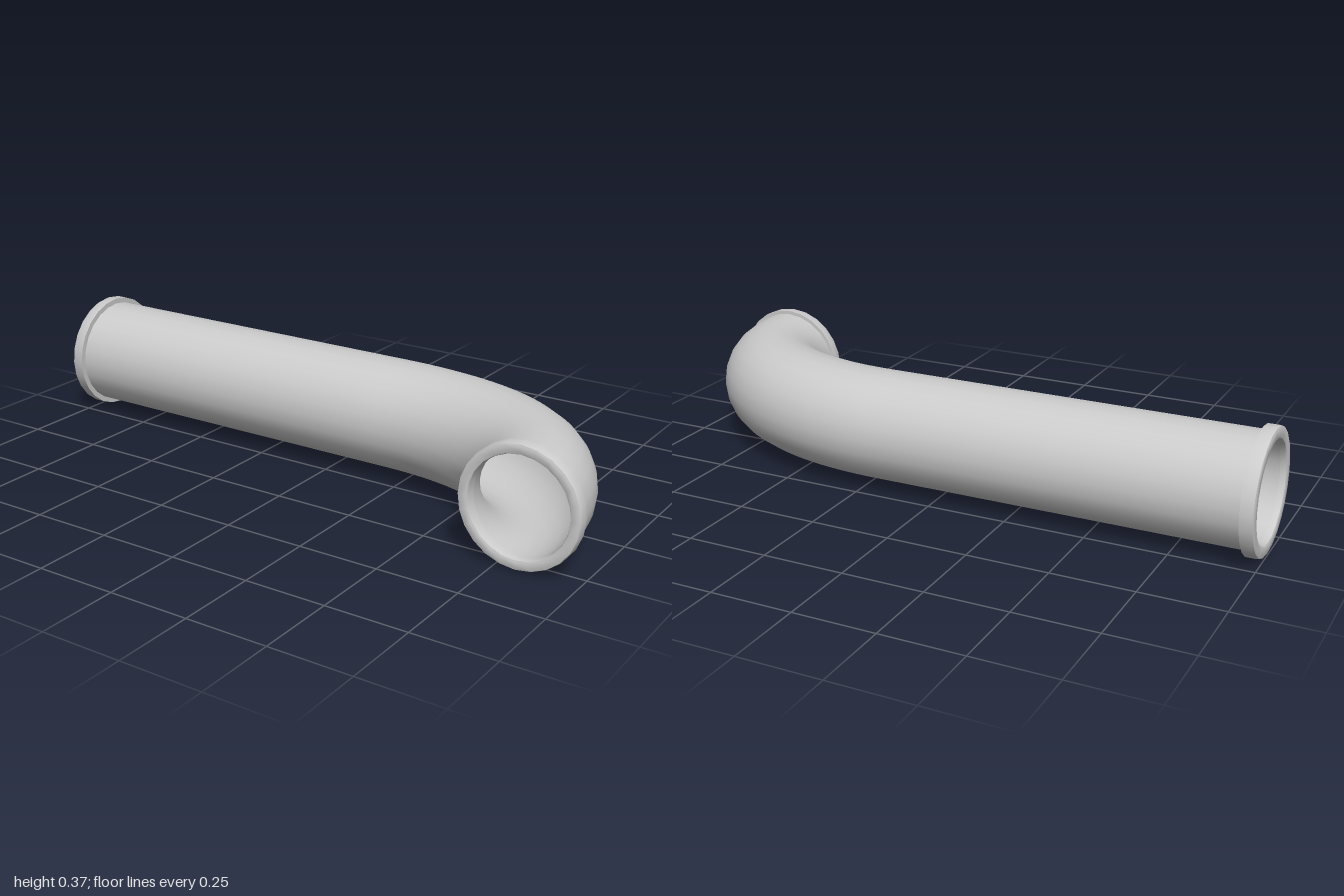
import * as THREE from 'three';
import { toCreasedNormals } from 'three/addons/utils/BufferGeometryUtils.js';

const SIDES = 24;
const AXIS_Y = 0.187, AXIS_Z = -0.125, OUTLET_X = 0.817;
const WALL_OUT = 0.17, WALL_IN = 0.15;

// Collar ring with a rounded front lip, opening along +y
function collar(name, radius, depth, material) {
  const e = 0.007;
  const profile = [
    [WALL_IN, 0], [radius, 0], [radius, depth - e], [radius - 0.3 * e, depth - 0.3 * e], [radius - e, depth],
    [WALL_IN + e, depth], [WALL_IN + 0.3 * e, depth - 0.3 * e], [WALL_IN, depth - e], [WALL_IN, 0],
  ].map(([r, y]) => new THREE.Vector2(r, y));
  const geometry = toCreasedNormals(new THREE.LatheGeometry(profile, SIDES), 0.7);
  const mesh = new THREE.Mesh(geometry, material);
  mesh.name = name;
  return mesh;
}

export function createModel() {
  const group = new THREE.Group();
  group.name = 'elbowPipe';
  const material = new THREE.MeshStandardMaterial({ color: 0xcccccc, side: THREE.DoubleSide });

  // Centre line: long straight run, then a sweeping bend towards the front
  const at = (x, z) => new THREE.Vector3(x, AXIS_Y, z);
  const bendX = 0.2, endZ = 0.29, k = 0.6;
  const path = new THREE.CurvePath();
  path.add(new THREE.LineCurve3(at(-0.98, AXIS_Z), at(bendX, AXIS_Z)));
  path.add(new THREE.CubicBezierCurve3(
    at(bendX, AXIS_Z),
    at(bendX + k * (OUTLET_X - bendX), AXIS_Z),
    at(OUTLET_X, endZ - k * (endZ - AXIS_Z)),
    at(OUTLET_X, endZ),
  ));

  // Outer and inner pipe walls
  for (const [name, radius] of [['outerWall', WALL_OUT], ['innerWall', WALL_IN]]) {
    const wall = new THREE.Mesh(new THREE.TubeGeometry(path, 64, radius, SIDES), material);
    wall.name = name;
    group.add(wall);
  }

  // Collar on the straight end, facing -x
  const inlet = collar('inletCollar', 0.187, 0.04, material);
  inlet.position.set(-0.96, AXIS_Y, AXIS_Z);
  inlet.rotation.z = Math.PI / 2;

  // Collar on the bent end, facing +z
  const outlet = collar('outletCollar', 0.182, 0.035, material);
  outlet.position.set(OUTLET_X, AXIS_Y, 0.277);
  outlet.rotation.x = Math.PI / 2;

  group.add(inlet, outlet);
  return group;
}
